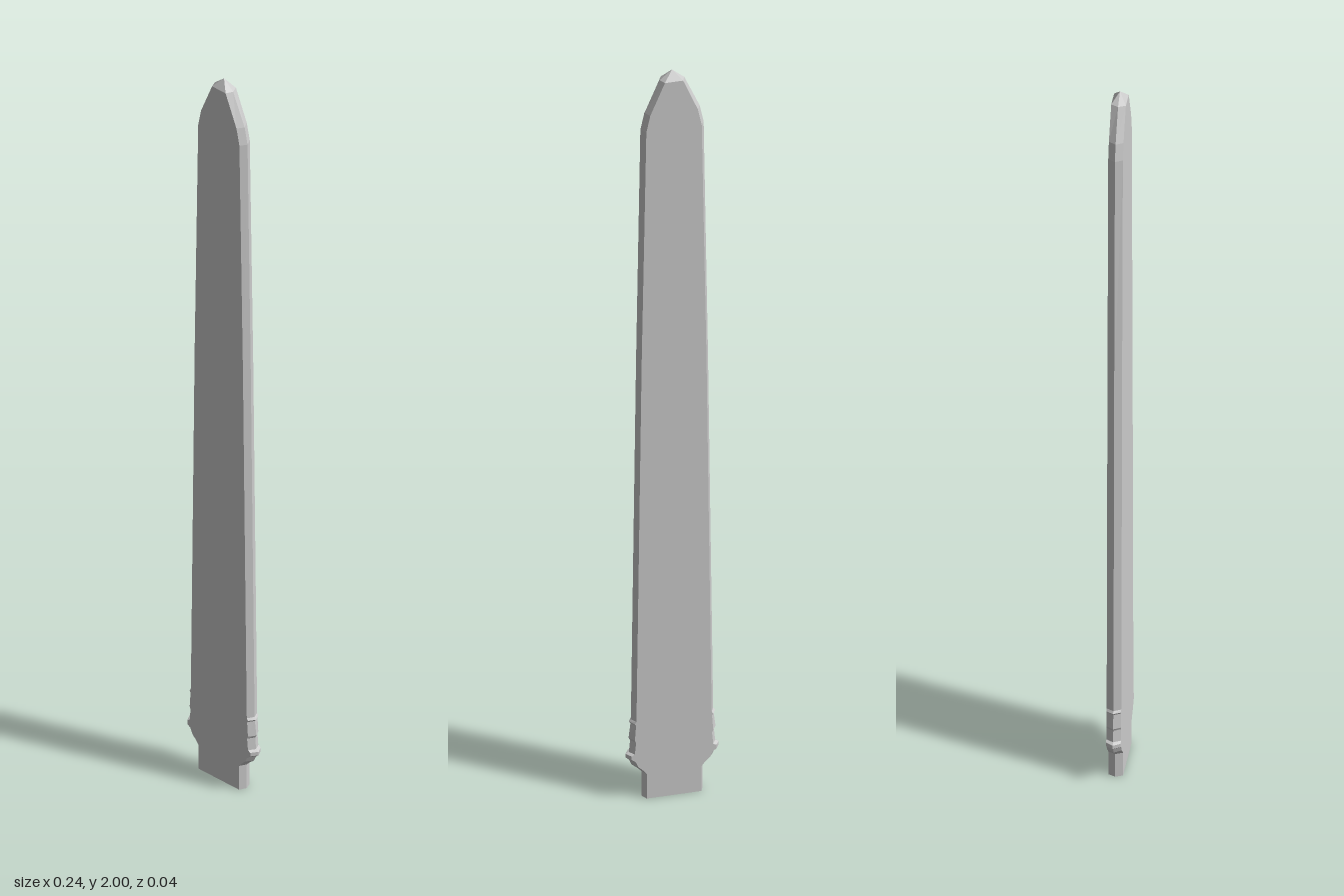
import * as THREE from 'three';

const T = 0.018; // half thickness of the flat

// Outline from tang to tip: [height, half width at the edge, half width of the flat]
const outline = [
  [0, 0.077, 0.069],
  [0.068, 0.077, 0.069],
  [0.078, 0.087, 0.077],
  [0.09, 0.102, 0.09],
  [0.105, 0.109, 0.097],
  [0.112, 0.118, 0.107],
  [0.122, 0.118, 0.107],
  [0.126, 0.109, 0.099],
  [0.158, 0.106, 0.096],
  [0.165, 0.11, 0.099],
  [0.205, 0.105, 0.096],
  [0.21, 0.109, 0.099],
  [0.216, 0.104, 0.095],
  [1.2, 0.091, 0.082],
  [1.845, 0.08, 0.07],
  [1.89, 0.07, 0.06],
  [1.975, 0.031, 0.023],
  [2, 0, 0],
];

// Six-sided section: two flats joined by bevels that meet at a sharp edge
function section([y, e, f]) {
  const t = f > 0 ? T : 0;
  return [[e, y, 0], [f, y, t], [-f, y, t], [-e, y, 0], [-f, y, -t], [f, y, -t]];
}

function bladeGeometry() {
  const rings = outline.map(section);
  const positions = [];
  const tri = (a, b, c) => positions.push(...a, ...b, ...c);

  // Flats and bevels, closing to a point at the tip
  for (let i = 0; i < rings.length - 1; i++) {
    const lo = rings[i], hi = rings[i + 1];
    const last = i === rings.length - 2;
    for (let j = 0; j < 6; j++) {
      const k = (j + 1) % 6;
      tri(lo[j], hi[j], lo[k]);
      if (!last) tri(lo[k], hi[j], hi[k]);
    }
  }
  // Bottom of the tang
  for (let j = 1; j < 5; j++) tri(rings[0][0], rings[0][j], rings[0][j + 1]);

  const geometry = new THREE.BufferGeometry();
  geometry.setAttribute('position', new THREE.Float32BufferAttribute(positions, 3));
  geometry.computeVertexNormals();
  return geometry;
}

export function createModel() {
  const model = new THREE.Group();
  model.name = 'bladeModel';
  const material = new THREE.MeshStandardMaterial({ color: 0xcccccc, flatShading: true });
  const blade = new THREE.Mesh(bladeGeometry(), material);
  blade.name = 'blade';
  model.add(blade);
  return model;
}
